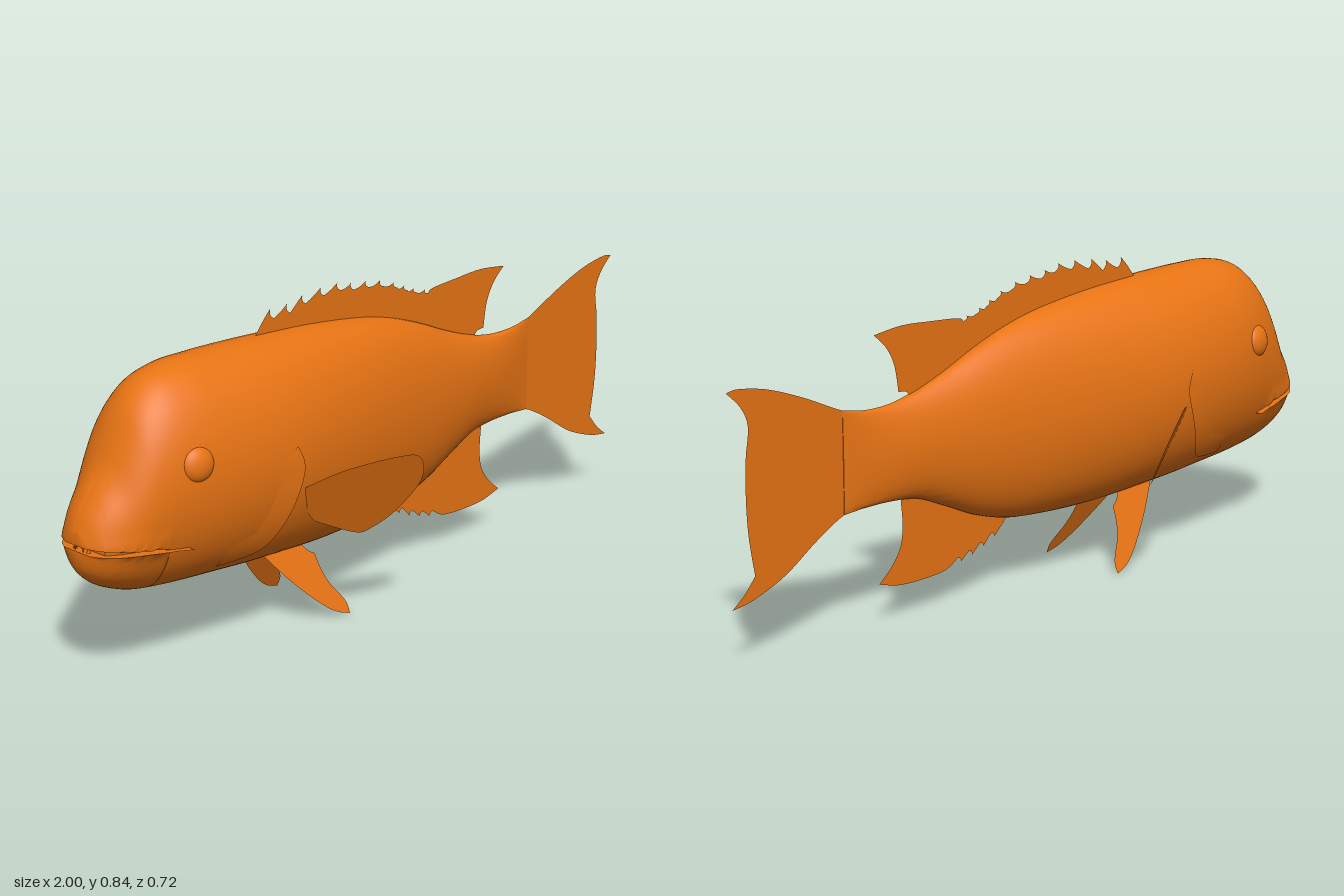
import * as THREE from 'three';
import { toCreasedNormals } from 'three/addons/utils/BufferGeometryUtils.js';

const skin = new THREE.MeshStandardMaterial({ color: 0xe87414 });
const thin = new THREE.MeshStandardMaterial({ color: 0xe87414, side: THREE.DoubleSide });

// Body stations from nose to tail root: x, top, bottom, half width
const stations = [
  [-1, 0.415, 0.335, 0.03], [-0.985, 0.45, 0.305, 0.06], [-0.96, 0.49, 0.278, 0.085],
  [-0.91, 0.56, 0.25, 0.112], [-0.877, 0.63, 0.237, 0.126], [-0.845, 0.69, 0.228, 0.137],
  [-0.79, 0.743, 0.219, 0.152], [-0.71, 0.768, 0.211, 0.168], [-0.6, 0.771, 0.203, 0.18],
  [-0.5, 0.769, 0.195, 0.184], [-0.4, 0.765, 0.189, 0.181], [-0.2, 0.752, 0.179, 0.158],
  [0, 0.725, 0.185, 0.126], [0.1, 0.7, 0.197, 0.108], [0.2, 0.665, 0.226, 0.09],
  [0.3, 0.623, 0.27, 0.07], [0.4, 0.588, 0.31, 0.05], [0.48, 0.571, 0.32, 0.034],
  [0.57, 0.57, 0.321, 0.016], [0.64, 0.582, 0.317, 0.002],
];
const spline = new THREE.CubicInterpolant(
  stations.map((s) => s[0]), stations.flatMap((s) => s.slice(1)), 3, new Float32Array(3));
function section(x) {
  const [top, bottom, w] = spline.evaluate(x);
  return { c: (top + bottom) / 2, h: (top - bottom) / 2, w };
}
// Half width of the body at a given x and height
function sideZ(x, y) {
  const { c, h, w } = section(x);
  return w * Math.sqrt(Math.max(0, 1 - ((y - c) / h) ** 2));
}

const MOUTH_END = -0.815;
const mouthY = (x) => 0.357 + 0.14 * (MOUTH_END - x);

// Loft of rings between two x values; adjust(x, y, z) returns the reshaped [y, z]
function loft(x0, x1, rings, adjust, ease = 1) {
  const sides = 64, pos = [], index = [];
  for (let i = 0; i <= rings; i++) {
    const x = x0 + (x1 - x0) * (i / rings) ** ease;
    const { c, h, w } = section(x);
    for (let j = 0; j < sides; j++) {
      const a = (j / sides) * Math.PI * 2;
      const [y, z] = adjust(x, c + h * Math.cos(a), w * Math.sin(a));
      pos.push(x, y, z);
      const k = i * sides + j, n = i * sides + ((j + 1) % sides);
      if (i < rings) index.push(k, n, k + sides, n, n + sides, k + sides);
    }
  }
  for (const i of [0, rings]) {
    const center = pos.length / 3;
    let y = 0;
    for (let j = 0; j < sides; j++) y += pos[(i * sides + j) * 3 + 1] / sides;
    pos.push(i ? x1 : x0, y, 0);
    for (let j = 0; j < sides; j++) {
      const k = i * sides + j, n = i * sides + ((j + 1) % sides);
      index.push(center, ...(i ? [k, n] : [n, k]));
    }
  }
  const g = new THREE.BufferGeometry();
  g.setAttribute('position', new THREE.Float32BufferAttribute(pos, 3));
  g.setIndex(index);
  g.computeVertexNormals();
  return toCreasedNormals(g, 0.8);
}

// Slight swelling of the lips beside the mouth line
function lip(x, y, z) {
  if (x > MOUTH_END) return z;
  return z + Math.sign(z) * Math.min(0.006, Math.abs(z)) * Math.exp(-(((y - mouthY(x)) / 0.022) ** 2));
}

// Flat fin from an outline, bent into place by zAt(x, y)
function fin(shape, zAt = () => 0) {
  const g = new THREE.ShapeGeometry(shape, 8);
  const p = g.attributes.position;
  for (let i = 0; i < p.count; i++) p.setZ(i, zAt(p.getX(i), p.getY(i)));
  g.computeVertexNormals();
  return g;
}
const vec = (pts) => pts.map(([x, y]) => new THREE.Vector2(x, y));
function startShape(x, y) {
  const s = new THREE.Shape();
  s.moveTo(x, y);
  return s;
}

export function createModel() {
  const group = new THREE.Group();
  const add = (name, geometry, material = skin) => {
    const m = new THREE.Mesh(geometry, material);
    m.name = name;
    group.add(m);
    return m;
  };

  // Body with upper jaw, lower jaw, and a narrower inside of the mouth
  add('body', loft(-1, 0.64, 110, (x, y, z) =>
    [x < MOUTH_END ? Math.max(y, mouthY(x)) : y, lip(x, y, z)], 1.35));
  add('lowerJaw', loft(-0.995, -0.76, 24, (x, y, z) => {
    const top = mouthY(x) - 0.004 - 0.07 * Math.max(0, MOUTH_END - x);
    return [Math.min(y, top), lip(x, y, z) * (x > MOUTH_END ? 0.98 : 1)];
  }));
  add('mouthInside', loft(-0.965, -0.78, 12, (x, y, z) => [0.37 + (y - 0.37) * 0.7, z * 0.82]));

  // Small front teeth
  for (const s of [-1, 1]) {
    const upper = add('upperTooth', new THREE.ConeGeometry(0.007, 0.024, 8));
    upper.position.set(-0.988, 0.376, s * 0.014);
    upper.rotation.x = Math.PI;
    const lower = add('lowerTooth', new THREE.ConeGeometry(0.006, 0.02, 8));
    lower.position.set(-0.98, 0.371, s * 0.024);
  }

  // Dorsal fin: row of hooked spines, then a soft trailing lobe
  const dorsal = startShape(-0.41, 0.74);
  dorsal.lineTo(-0.4, 0.765);
  const spines = [[-0.348, 0.823], [-0.29, 0.823], [-0.235, 0.834], [-0.17, 0.84], [-0.11, 0.84], [-0.06, 0.829],
    [-0.005, 0.823], [0.048, 0.813], [0.1, 0.797], [0.14, 0.78], [0.176, 0.765], [0.22, 0.752]];
  spines.forEach(([x, y], i) => {
    const notch = 0.027 - i * 0.0013;
    dorsal.quadraticCurveTo(x - 0.022, y - notch * 0.7, x, y);
    dorsal.quadraticCurveTo(x - 0.006, y - notch * 0.7, x + 0.012, y - notch);
  });
  dorsal.splineThru(vec([[0.25, 0.75], [0.34, 0.757], [0.44, 0.762], [0.535, 0.752]]));
  dorsal.splineThru(vec([[0.495, 0.715], [0.468, 0.665], [0.455, 0.595]]));
  dorsal.splineThru(vec([[0.43, 0.592], [0.4, 0.575], [0.3, 0.59], [0.1, 0.66], [-0.1, 0.71], [-0.41, 0.74]]));
  add('dorsalFin', fin(dorsal), thin);

  // Anal fin with short leading spines
  const anal = startShape(0.06, 0.215);
  anal.lineTo(0.08, 0.193);
  for (const [x, y] of [[0.125, 0.15], [0.165, 0.132], [0.205, 0.119], [0.245, 0.109]]) {
    anal.lineTo(x, y);
    anal.quadraticCurveTo(x, y + 0.012, x + 0.012, y + 0.012);
  }
  anal.splineThru(vec([[0.3, 0.098], [0.38, 0.092], [0.46, 0.095], [0.528, 0.112]]));
  anal.splineThru(vec([[0.485, 0.15], [0.455, 0.195], [0.447, 0.25], [0.452, 0.315]]));
  anal.splineThru(vec([[0.42, 0.33], [0.3, 0.31], [0.2, 0.26], [0.06, 0.215]]));
  add('analFin', fin(anal), thin);

  // Tail fin
  const tail = startShape(0.57, 0.565);
  tail.splineThru(vec([[0.64, 0.582], [0.76, 0.635], [0.87, 0.675], [0.96, 0.692], [0.998, 0.688]]));
  tail.splineThru(vec([[0.955, 0.645], [0.935, 0.595], [0.944, 0.52], [0.947, 0.43], [0.942, 0.33], [0.925, 0.225]]));
  tail.splineThru(vec([[0.96, 0.185], [0.998, 0.155]]));
  tail.splineThru(vec([[0.93, 0.167], [0.83, 0.206], [0.73, 0.27], [0.64, 0.317], [0.57, 0.325]]));
  add('tailFin', fin(tail), thin);

  // Paired parts on both sides
  const pectoral = startShape(-0.41, 0.415);
  pectoral.splineThru(vec([[-0.34, 0.458], [-0.24, 0.488], [-0.19, 0.482], [-0.165, 0.41],
    [-0.19, 0.32], [-0.225, 0.272], [-0.258, 0.26], [-0.36, 0.307]]));
  pectoral.lineTo(-0.39, 0.345);
  const pelvic = startShape(-0.43, 0.205);
  pelvic.splineThru(vec([[-0.37, 0.13], [-0.3, 0.058], [-0.25, 0.02], [-0.205, 0.003]]));
  pelvic.splineThru(vec([[-0.207, 0.035], [-0.24, 0.085], [-0.255, 0.125], [-0.26, 0.165]]));
  pelvic.splineThru(vec([[-0.28, 0.178], [-0.3, 0.205]]));

  // Rear edge of the gill cover, from the top down and forward
  const gillEdge = new THREE.SplineCurve(vec([[-0.437, 0.53], [-0.418, 0.475], [-0.44, 0.4],
    [-0.475, 0.325], [-0.51, 0.272], [-0.565, 0.254], [-0.64, 0.25]]));

  for (const s of [1, -1]) {
    const side = s > 0 ? 'left' : 'right';
    add(side + 'PectoralFin', fin(pectoral, (x, y) => s * (0.18 + 0.668 * (x + 0.41) + 0.507 * (y - 0.415))), thin);
    add(side + 'PelvicFin', fin(pelvic, (x, y) => s * (0.05 + 0.444 * (0.19 - y))), thin);

    // Gill cover: a flap standing off the body at its rear edge and sinking in forward
    const g = new THREE.PlaneGeometry(1, 1, 30, 8);
    const p = g.attributes.position, uv = g.attributes.uv;
    for (let i = 0; i < p.count; i++) {
      const t = uv.getX(i), v = uv.getY(i);
      const e = gillEdge.getPoint(t).lerp(new THREE.Vector2(-0.62, 0.42), v * 0.7);
      const lift = 0.009 * Math.sin(Math.PI * (0.1 + 0.8 * t)) * (1 - v * 1.5) - 0.002 * v;
      p.setXYZ(i, e.x, e.y, s * (sideZ(e.x, e.y) + lift));
    }
    g.computeVertexNormals();
    add(side + 'GillCover', g, thin);

    // Bulging eye
    const eye = add(side + 'Eye', new THREE.SphereGeometry(0.044, 24, 16));
    eye.position.set(-0.74, 0.555, s * 0.148);
    eye.rotation.set(-s * 0.15, -s * 0.2, 0);
    eye.scale.z = 0.55;
  }
  return group;
}
